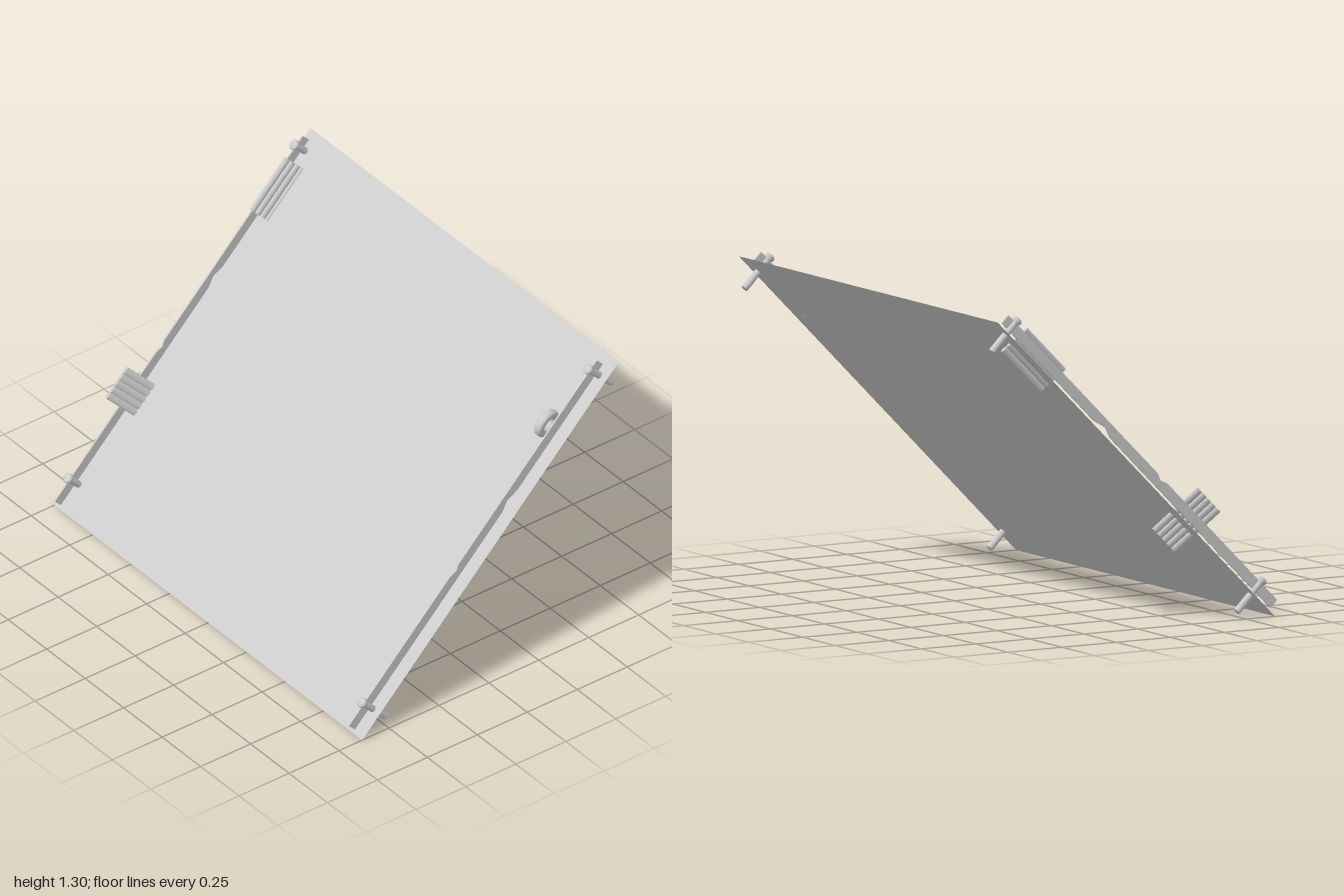
import * as THREE from 'three';

const grey = new THREE.MeshStandardMaterial({ color: 0xcccccc, side: THREE.DoubleSide });
const TILT = 0.32; // lean of the rods and the ring

function add(parent, geometry, name, x = 0, y = 0, z = 0) {
  const mesh = new THREE.Mesh(geometry, grey);
  mesh.name = name;
  mesh.position.set(x, y, z);
  parent.add(mesh);
  return mesh;
}

// Thin strip standing on the panel, with a shallow dent in each edge
function railGeometry() {
  const pts = [
    [-0.888, 0.023], [0.156, 0.023], [0.206, 0.038], [0.262, 0.023], [0.867, 0.023],
    [0.867, 0.065], [-0.11, 0.065], [-0.138, 0.053], [-0.17, 0.065], [-0.888, 0.065],
  ];
  const shape = new THREE.Shape(pts.map(([u, n]) => new THREE.Vector2(u, n)));
  const geo = new THREE.ExtrudeGeometry(shape, { depth: 0.008, bevelEnabled: false });
  return geo.translate(0, 0, -0.004).rotateY(Math.PI / 2);
}

// Headed pin that passes through the panel
function pinGeometry() {
  const pts = [[0, -0.09], [0.013, -0.09], [0.015, -0.086], [0.014, 0.055],
    [0.016, 0.066], [0.021, 0.07], [0.021, 0.079], [0.016, 0.085], [0, 0.087]];
  return new THREE.LatheGeometry(pts.map(([r, y]) => new THREE.Vector2(r, y)), 20);
}

// Thick ring with rounded edges
function ringGeometry() {
  const pts = [[0.028, -0.01], [0.036, -0.018], [0.052, -0.018], [0.06, -0.012], [0.062, 0],
    [0.06, 0.012], [0.052, 0.018], [0.036, 0.018], [0.028, 0.01], [0.028, -0.01]];
  const geo = new THREE.LatheGeometry(pts.map(([r, y]) => new THREE.Vector2(r, y)), 36);
  return geo.rotateZ(-Math.PI / 2);
}

export function createModel() {
  const model = new THREE.Group();
  model.name = 'slopedPanel';

  // Sloped frame: local y is the panel normal, local -z runs up the slope
  const slope = new THREE.Group();
  slope.name = 'slope';
  slope.rotation.x = Math.PI / 4;
  slope.position.set(0, 0.642, -0.007);
  model.add(slope);

  add(slope, new THREE.PlaneGeometry(2, 1.812).rotateX(-Math.PI / 2), 'panel');

  // Rails with a pin at each end
  for (const [side, x] of [['left', 0.953], ['right', -0.957]]) {
    add(slope, railGeometry(), side + 'Rail', x);
    add(slope, pinGeometry(), side + 'UpperPin', x, 0, -0.82);
    add(slope, pinGeometry(), side + 'LowerPin', x, 0, 0.781);
  }

  // Upper stack: rods running along the slope, piled away from the panel
  const upper = new THREE.Group();
  upper.name = 'upperRodStack';
  upper.position.set(-0.927, 0.023, -0.634);
  upper.rotation.z = TILT;
  slope.add(upper);
  for (let i = -2; i <= 2; i++) {
    const rod = new THREE.CylinderGeometry(0.014, 0.014, 0.25, 16).rotateX(Math.PI / 2);
    add(upper, rod.scale(0.65, 1, 1), 'longRod', 0, i * 0.028, 0);
  }

  // Lower stack: rods through the panel, lined up along the slope
  const lower = new THREE.Group();
  lower.name = 'lowerRodStack';
  lower.position.set(-0.934, 0.026, 0.356);
  lower.rotation.z = TILT;
  slope.add(lower);
  for (let i = -2; i <= 2; i++) {
    const rod = new THREE.CylinderGeometry(0.0155, 0.0155, 0.242, 16);
    add(lower, rod.scale(0.6, 1, 1), 'shortRod', 0, 0, i * 0.03);
  }

  // Ring leaning beside the left rail
  add(slope, ringGeometry(), 'ring', 0.915, 0.057, -0.547).rotation.z = -TILT;

  return model;
}
